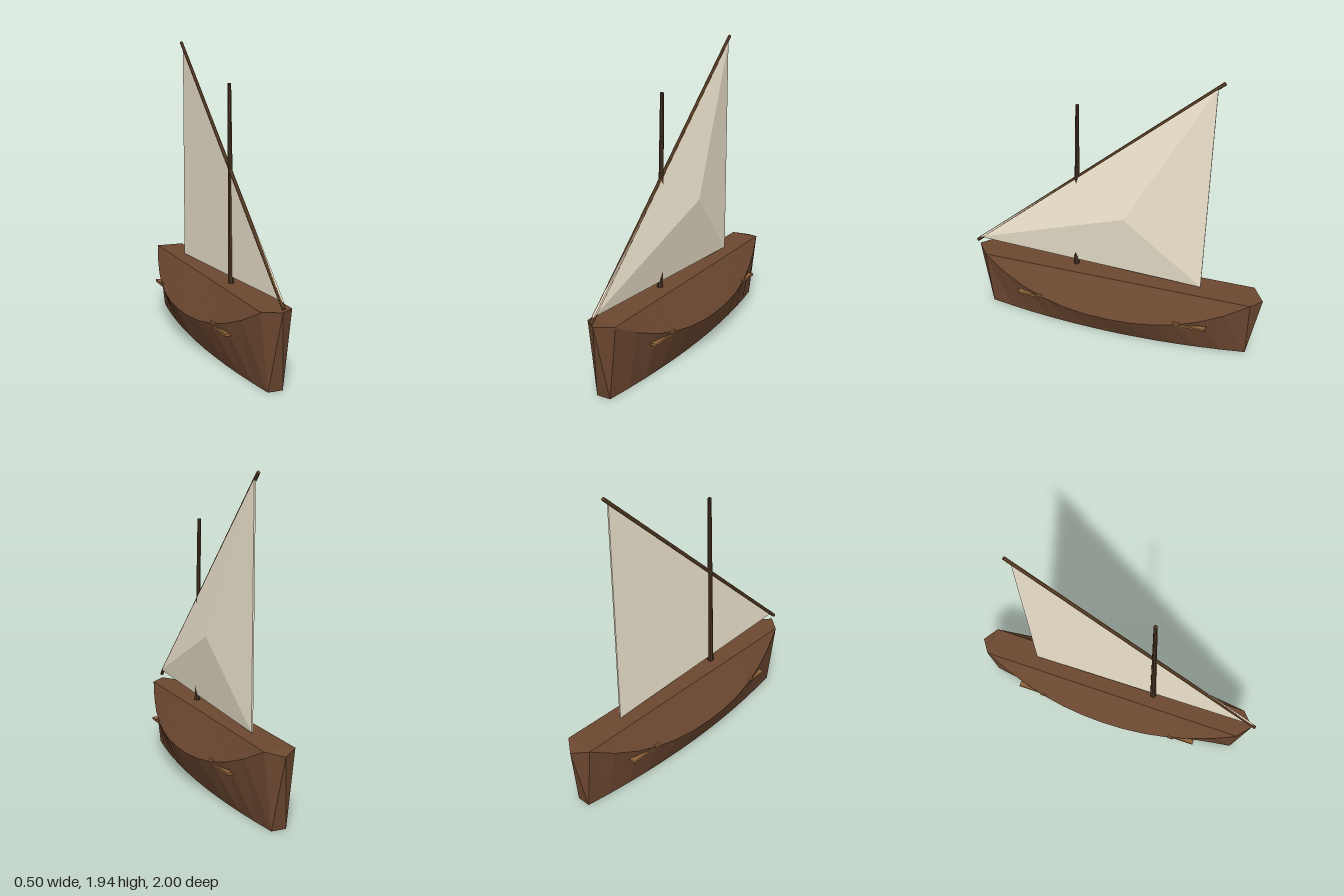
import * as THREE from 'three';

const material = (color) => new THREE.MeshStandardMaterial({ color, flatShading: true, roughness: 0.9, metalness: 0 });

function facetedGeometry(points, faces) {
  const geometry = new THREE.BufferGeometry();
  geometry.setAttribute('position', new THREE.Float32BufferAttribute(points.flat(), 3));
  geometry.setIndex(faces.flat());
  const faceted = geometry.toNonIndexed();
  faceted.computeVertexNormals();
  return faceted;
}

// Hull: six-sided cross-sections from stern to bow, closed by a pointed tip at each end
function hullGeometry() {
  const points = [], faces = [], stations = 12, sides = 6;
  for (let i = 0; i <= stations; i++) {
    const t = (i / stations) * 2 - 1;
    const z = -0.018 + 0.912 * t;
    const bottom = 0.045 + 0.075 * (1 - t * t);
    const sheer = 0.095 + 0.155 * (1 - t * t);
    const sheerY = 0.24 + 0.215 * Math.abs(t) ** 2.5;
    const deckY = 0.459 + 0.003 * t;
    points.push([-bottom, 0, z], [bottom, 0, z], [sheer, sheerY, z],
      [0.095, deckY, z], [-0.095, deckY, z], [-sheer, sheerY, z]);
  }
  const stern = points.push([0, 0.435, -1]) - 1;
  const bow = points.push([0, 0.47, 0.975]) - 1;
  const last = stations * sides;
  for (let j = 0; j < sides; j++) {
    const k = (j + 1) % sides;
    for (let i = 0; i < last; i += sides) {
      faces.push([i + j, i + k, i + sides + k], [i + j, i + sides + k, i + sides + j]);
    }
    faces.push([k, j, stern], [last + j, last + k, bow]);
  }
  return facetedGeometry(points, faces);
}

// Sail: a thin triangle with a flat back and a bulging front
function sailGeometry() {
  const corners = [[0.53, 0.97], [0.46, -0.59], [1.9, -0.6]]; // y, z
  const points = [
    ...corners.map(([y, z]) => [0.006, y, z]),
    ...corners.map(([y, z]) => [-0.004, y, z]),
    [0.08, 0.95, -0.08],
  ];
  const faces = [[5, 4, 3]];
  for (let i = 0; i < 3; i++) {
    const j = (i + 1) % 3;
    faces.push([i, j, 6], [i + 3, j + 3, j], [i + 3, j, i]);
  }
  return facetedGeometry(points, faces);
}

// Round spar between two points
function spar(name, from, to, r0, r1, mat) {
  const a = new THREE.Vector3(...from), b = new THREE.Vector3(...to);
  const direction = b.clone().sub(a);
  const mesh = new THREE.Mesh(new THREE.CylinderGeometry(r1, r0, direction.length(), 8), mat);
  mesh.name = name;
  mesh.position.copy(a).add(b).multiplyScalar(0.5);
  mesh.quaternion.setFromUnitVectors(new THREE.Vector3(0, 1, 0), direction.normalize());
  return mesh;
}

export function createModel() {
  const model = new THREE.Group();
  model.name = 'sailboat';
  const add = (name, geometry, mat) => {
    const mesh = new THREE.Mesh(geometry, mat);
    mesh.name = name;
    model.add(mesh);
    return mesh;
  };
  const plankWood = material(0x8a5f38);

  add('hull', hullGeometry(), material(0x6b4730));
  add('sail', sailGeometry(), material(0xeee4ce));

  // Mast and slanting yard
  model.add(spar('mast', [-0.003, 0.45, 0.268], [-0.003, 1.67, 0.228], 0.02, 0.012, material(0x4a3423)));
  model.add(spar('yard', [-0.003, 0.495, 0.99], [-0.003, 1.935, -0.635], 0.012, 0.011, material(0x6b4a2e)));

  // Side rails whose ends show through the hull
  for (const side of [-1, 1]) {
    add(side > 0 ? 'leftRail' : 'rightRail', new THREE.BoxGeometry(0.04, 0.016, 1.3), plankWood)
      .position.set(side * 0.175, 0.261, -0.02);
  }

  // Cross beams
  for (const z of [0.47, -0.48]) {
    add(z > 0 ? 'frontBeam' : 'rearBeam', new THREE.BoxGeometry(0.425, 0.016, 0.04), plankWood)
      .position.set(0, 0.287, z);
  }
  return model;
}
